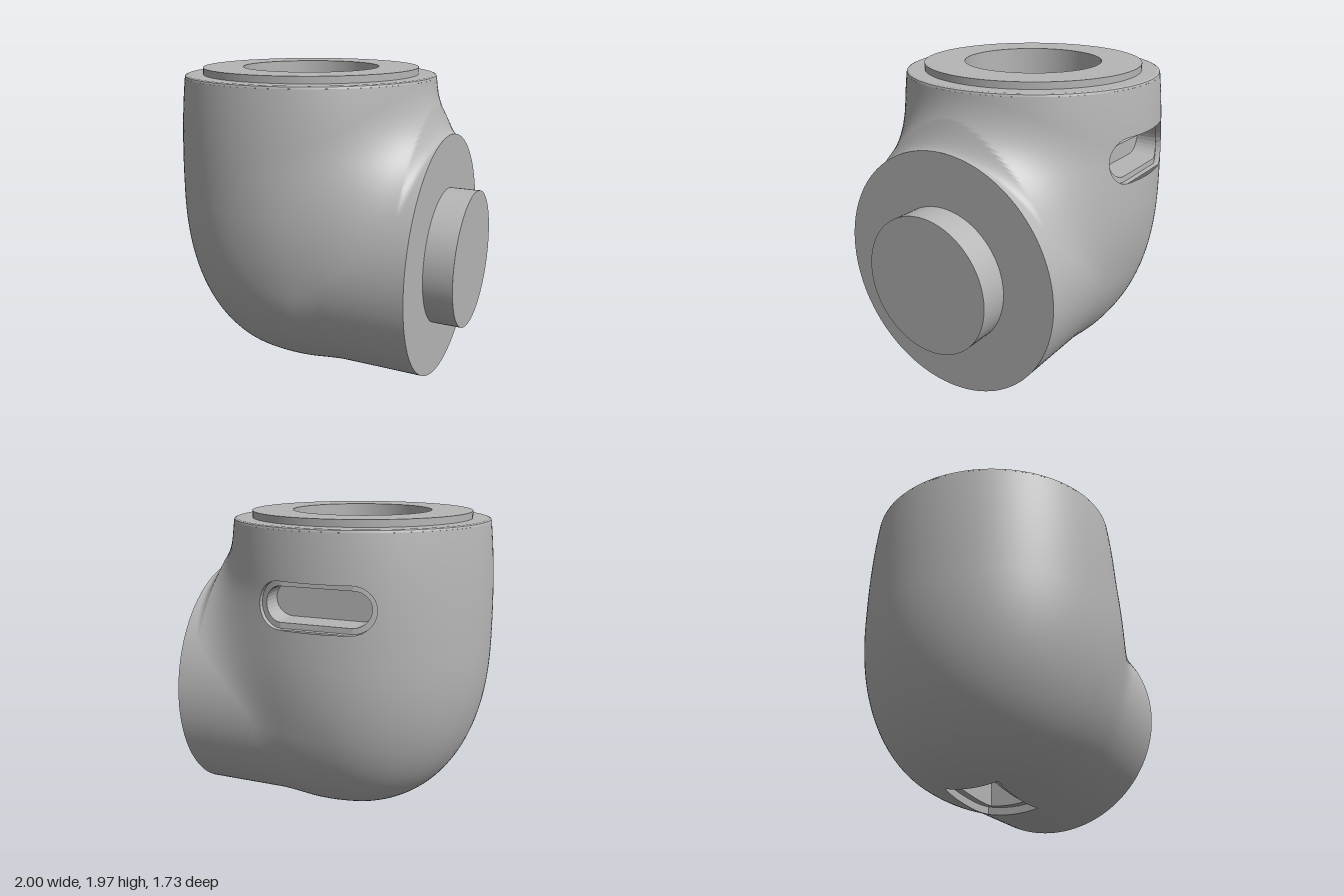
import * as THREE from 'three';

const AX = -0.14;            // x of the upright barrel axis
const AY = 0.81, AR = 0.785; // arm axis height and radius
const FACE = 0.815;          // x of the flat arm end
const grey = new THREE.MeshStandardMaterial({ color: 0xb6b6b6, side: THREE.DoubleSide });
grey.name = 'grey';

// Implicit housing: round-bottomed barrel smoothly joined to a horizontal arm
function field(x, y, z) {
  const p = 2.3, h = y > 1.2 ? 1.98 : 1.18;
  const barrel = 0.86 * (Math.pow(Math.pow(Math.hypot(x - AX, z) / 0.86, p)
    + Math.pow(Math.abs(y - 1.2) / h, p), 1 / p) - 1);
  const arm = Math.hypot(y - AY, z, Math.min(x - 0.1, 0)) - AR;
  const k = (0.08 + 0.24 * THREE.MathUtils.smoothstep(y, 0.7, 1.5))
    * THREE.MathUtils.clamp((0.87 - x) / 0.15, 0.1, 1);
  const b = Math.max(k - Math.abs(barrel - arm), 0) / k;
  return Math.min(barrel, arm) - b * b * k / 4;
}

// Surface point on the segment from an inside point along a direction
function hit(o, d, max) {
  let lo = 0, hi = max;
  const at = (s) => o.map((c, i) => c + d[i] * s);
  for (let i = 0; i < 36; i++) {
    const mid = (lo + hi) / 2;
    if (field(...at(mid)) < 0) lo = mid; else hi = mid;
  }
  return at(lo);
}

function gradient([x, y, z]) {
  const e = 0.002;
  return new THREE.Vector3(
    field(x + e, y, z) - field(x - e, y, z),
    field(x, y + e, z) - field(x, y - e, z),
    field(x, y, z + e) - field(x, y, z - e)).normalize();
}

// Openings: convex outlines in two of the axes (a, b), cut along axis c
function stadium(w, h) {
  const pts = [];
  for (const s of [1, -1]) for (let i = 0; i <= 14; i++) {
    const t = -Math.PI / 2 + Math.PI * i / 14;
    pts.push([s * (w - h + h * Math.cos(t)), s * h * Math.sin(t)]);
  }
  return pts;
}
function rectangle(w, h) {
  const c = [[w, -h], [w, h], [-w, h], [-w, -h]], pts = [];
  c.forEach((p, i) => {
    const q = c[(i + 1) % 4];
    for (let s = 0; s < 8; s++) pts.push([p[0] + (q[0] - p[0]) * s / 8, p[1] + (q[1] - p[1]) * s / 8]);
  });
  return pts;
}
const openings = [
  { name: 'backSlot', a: 0, b: 1, c: 2, centre: [AX, 1.5], start: -0.3, limit: -0.4,
    outer: stadium(0.36, 0.14), inner: stadium(0.325, 0.105), step: 0.035, floor: -0.62 },
  { name: 'bottomWindow', a: 0, b: 2, c: 1, centre: [-0.13, 0], start: 0.5, limit: 0.4,
    outer: rectangle(0.27, 0.18), inner: rectangle(0.2, 0.12), step: 0.05, floor: 0.25 },
];

// Remove the part of a polygon that lies inside an opening
function cut(poly, o) {
  if (poly.every((p) => p[o.c] > o.limit)) return [poly];
  const out = [];
  let rest = poly;
  const ring = o.outer;
  for (let i = 0; i < ring.length && rest.length > 2; i++) {
    const A = ring[i], B = ring[(i + 1) % ring.length];
    if (Math.hypot(B[0] - A[0], B[1] - A[1]) < 1e-6) continue;
    const side = (p) => (B[0] - A[0]) * (p[o.b] - o.centre[1] - A[1])
      - (B[1] - A[1]) * (p[o.a] - o.centre[0] - A[0]);
    const inside = [], outside = [];
    rest.forEach((p, j) => {
      const q = rest[(j + 1) % rest.length], sp = side(p), sq = side(q);
      (sp > 0 ? inside : outside).push(p);
      if (sp > 0 !== sq > 0) {
        const m = p.map((c, n) => c + (q[n] - c) * sp / (sp - sq));
        inside.push(m);
        outside.push(m);
      }
    });
    if (inside.length < 3) return [poly]; // entirely outside this edge
    if (outside.length > 2) out.push(outside);
    rest = inside;
  }
  return out;
}

// Loops sweep from the arm rim round the underside to the top rim
function housingGeometry() {
  const N = 104, M = 128, C = [AX, AY, 0], loops = [];
  const a0 = Math.atan2(AR, FACE - AX), a1 = Math.PI - Math.atan2(0.822, 1.925 - AY);
  for (let i = 0; i <= N; i++) {
    const t = i / N, tilt = t * Math.PI / 2, al = a0 + (a1 - a0) * t, row = [];
    for (let j = 0; j < M; j++) {
      const ps = j / M * Math.PI * 2, r = Math.sin(al) * Math.cos(ps);
      row.push(hit(C, [
        Math.cos(tilt) * Math.cos(al) + Math.sin(tilt) * r,
        -Math.sin(tilt) * Math.cos(al) + Math.cos(tilt) * r,
        Math.sin(al) * Math.sin(ps)], 2));
    }
    loops.push(row);
  }
  const pos = [], nor = [];
  const add = (tri) => {
    let polys = [tri];
    for (const o of openings) polys = polys.flatMap((p) => cut(p, o));
    for (const p of polys) for (let n = 1; n < p.length - 1; n++)
      for (const v of [p[0], p[n], p[n + 1]]) {
        pos.push(...v);
        nor.push(...gradient(v).toArray());
      }
  };
  for (let i = 0; i < N; i++) for (let j = 0; j < M; j++) {
    const k = (j + 1) % M, P = loops[i], Q = loops[i + 1];
    add([P[j], Q[j], P[k]]);
    add([Q[j], Q[k], P[k]]);
  }
  const g = new THREE.BufferGeometry();
  g.setAttribute('position', new THREE.Float32BufferAttribute(pos, 3));
  g.setAttribute('normal', new THREE.Float32BufferAttribute(nor, 3));
  return g;
}

// Stepped walls and flat floor behind an opening
function pocketGeometry(o) {
  const place = (p, c) => {
    const v = [0, 0, 0];
    v[o.a] = p[0] + o.centre[0];
    v[o.b] = p[1] + o.centre[1];
    v[o.c] = c;
    return v;
  };
  const down = [0, 0, 0];
  down[o.c] = -1;
  const skin = (p, depth) => place(p, hit(place(p, o.start), down, 1)[o.c] + depth);
  const rings = [
    o.outer.map((p) => skin(p, 0)), o.outer.map((p) => skin(p, o.step)),
    o.inner.map((p) => skin(p, o.step)), o.inner.map((p) => place(p, o.floor)),
    o.inner.map(() => place([0, 0], o.floor))];
  const pos = [], n = o.outer.length, turn = o.c === 1;
  for (let r = 0; r < 4; r++) for (let j = 0; j < n; j++) {
    const k = (j + 1) % n, A = rings[r], B = rings[r + 1];
    const tris = [[A[j], B[j], A[k]], [A[k], B[j], B[k]]];
    for (const t of tris) pos.push(...(turn ? t : t.reverse()).flat());
  }
  const g = new THREE.BufferGeometry();
  g.setAttribute('position', new THREE.Float32BufferAttribute(pos, 3));
  g.computeVertexNormals();
  return g;
}

export function createModel() {
  const model = new THREE.Group();
  model.name = 'elbowHousing';
  const part = (name, geo) => {
    const m = new THREE.Mesh(geo, grey);
    m.name = name;
    model.add(m);
    return m;
  };
  part('housing', housingGeometry());
  for (const o of openings) part(o.name, pocketGeometry(o));

  // Top: bevelled edge, raised collar and round socket, one band per straight run
  const profile = [[0.822, 1.925], [0.818, 1.937], [0.805, 1.942], [0.705, 1.942],
    [0.705, 1.985], [0.445, 1.985], [0.445, 1.75], [0, 1.75]].map((p) => new THREE.Vector2(...p));
  const names = ['topBevel', 'topBevel', 'topShoulder', 'collarWall', 'collarTop', 'socketWall', 'socketFloor'];
  names.forEach((name, i) => {
    part(name, new THREE.LatheGeometry([profile[i], profile[i + 1]], 96)).position.x = AX;
  });

  // Arm end: flat face and round output plug
  const face = part('armFace', new THREE.CircleGeometry(AR, 128));
  face.rotation.y = Math.PI / 2;
  face.position.set(FACE, AY, 0);
  const plug = part('outputPlug', new THREE.CylinderGeometry(0.442, 0.442, 1 - FACE, 96));
  plug.rotation.z = -Math.PI / 2;
  plug.position.set((1 + FACE) / 2, AY, 0);
  return model;
}
